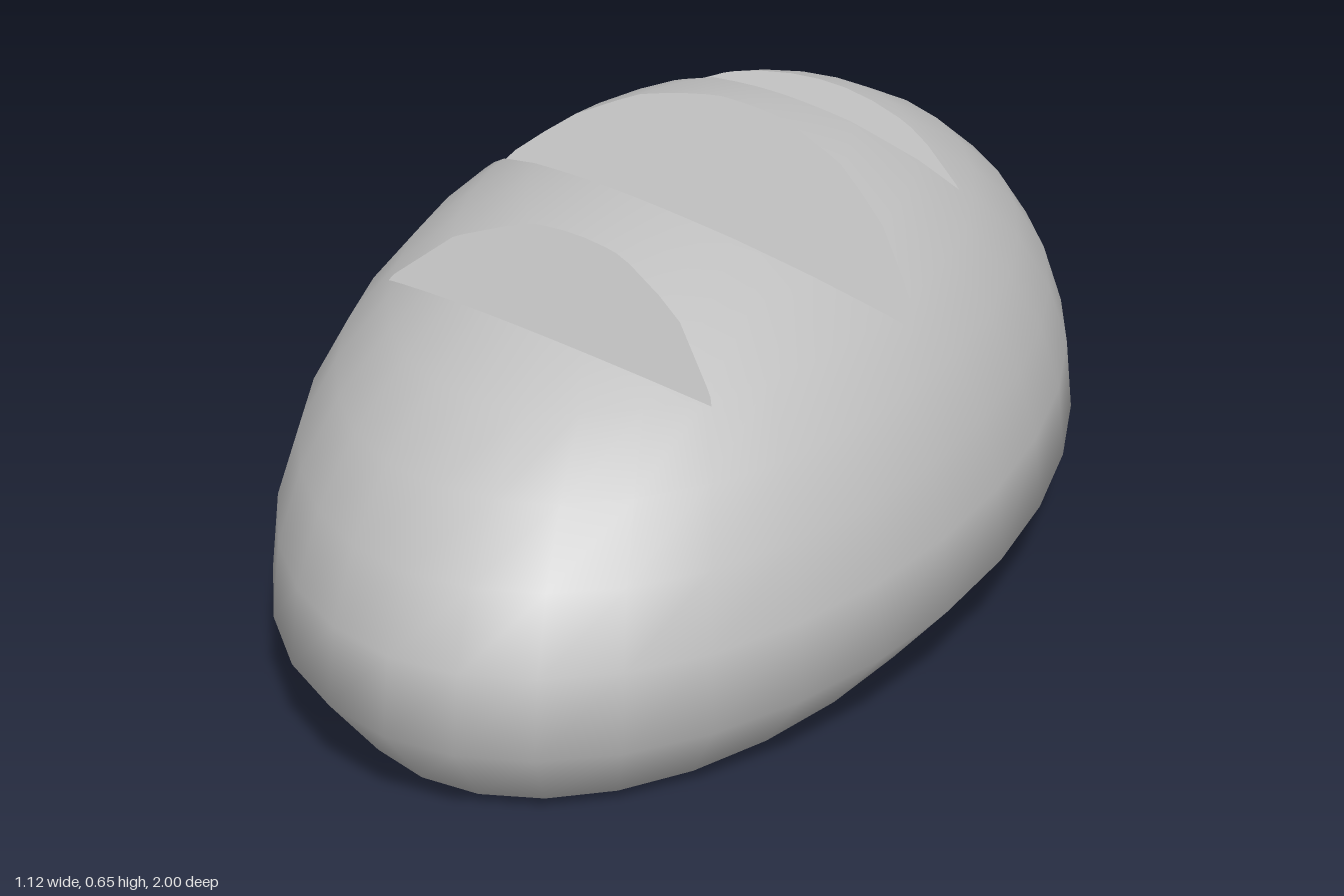
import * as THREE from 'three';

const SEGMENTS = 32, STEPS = 8;
const V = (x, y, z) => new THREE.Vector3(x, y, z);

// One horizontal oval of the loaf
function oval(rx, rz, y) {
  return Array.from({ length: SEGMENTS }, (_, i) => {
    const a = (i / SEGMENTS) * Math.PI * 2;
    return V(rx * Math.cos(a), y, rz * Math.sin(a));
  });
}

// Skin stacked ovals from bottom to top, with an optional closing point at either end
function loft(rings, bottom, top) {
  const points = rings.flat(), index = [];
  const at = (r, i) => r * SEGMENTS + (i % SEGMENTS);
  for (let i = 0; i < SEGMENTS; i++) {
    for (let r = 0; r < rings.length - 1; r++) {
      const a = at(r, i), b = at(r + 1, i), c = at(r + 1, i + 1), d = at(r, i + 1);
      index.push(a, b, d, b, c, d);
    }
    if (top) index.push(at(rings.length - 1, i), rings.length * SEGMENTS, at(rings.length - 1, i + 1));
    if (bottom) index.push(at(0, i), at(0, i + 1), rings.length * SEGMENTS);
  }
  if (top) points.push(top);
  if (bottom) points.push(bottom);
  const geo = new THREE.BufferGeometry().setFromPoints(points);
  geo.setIndex(index);
  geo.computeVertexNormals();
  return geo;
}

// Keep the part of a polygon on one side of a plane (sign +1 is the normal's side)
function clip(poly, plane, sign) {
  const out = [];
  poly.forEach((a, i) => {
    const b = poly[(i + 1) % poly.length];
    const da = sign * plane.distanceToPoint(a.p), db = sign * plane.distanceToPoint(b.p);
    if (da >= 0) out.push(a);
    if ((da > 0 && db < 0) || (da < 0 && db > 0)) {
      const t = da / (da - db);
      out.push({ p: a.p.clone().lerp(b.p, t), n: a.n.clone().lerp(b.n, t).normalize() });
    }
  });
  return out.length > 2 ? out : [];
}

// Remove a convex region, bounded by planes facing into it, from a set of polygons
function carve(polys, planes) {
  return polys.flatMap((poly) => {
    let rest = poly;
    const kept = [];
    for (const plane of planes) {
      const outside = clip(rest, plane, -1);
      if (outside.length) kept.push(outside);
      rest = clip(rest, plane, 1);
      if (!rest.length) return [poly];
    }
    return kept;
  });
}

function polygonsToGeometry(polys) {
  const pos = [], nor = [];
  for (const poly of polys) {
    for (let i = 1; i < poly.length - 1; i++) {
      for (const v of [poly[0], poly[i], poly[i + 1]]) {
        pos.push(v.p.x, v.p.y, v.p.z);
        nor.push(v.n.x, v.n.y, v.n.z);
      }
    }
  }
  const geo = new THREE.BufferGeometry();
  geo.setAttribute('position', new THREE.Float32BufferAttribute(pos, 3));
  geo.setAttribute('normal', new THREE.Float32BufferAttribute(nor, 3));
  return geo;
}

// Slash: ends of its bottom line, line height, front and back wall slopes, half width of the floor
const SLASHES = [
  { name: 'frontSlash', from: [-0.34, 0.335], to: [0.225, 0.6], y: 0.497, front: 0.7, back: 1.25, floor: 0 },
  { name: 'middleSlash', from: [-0.41, -0.215], to: [0.4, 0.205], y: 0.485, front: 0.76, back: 1.0, floor: 0.01 },
  { name: 'backSlash', from: [-0.235, -0.53], to: [0.35, -0.25], y: 0.522, front: 1.15, back: 0.8, floor: 0 },
];

function slashPlanes({ from, to, y, front, back, floor }) {
  const along = V(to[0] - from[0], 0, to[1] - from[1]).normalize();
  const forward = V(-along.z, 0, along.x);
  const mid = V((from[0] + to[0]) / 2, y, (from[1] + to[1]) / 2);
  const wall = (slope, side) => {
    const normal = forward.clone().multiplyScalar(-slope * side).add(V(0, 1, 0)).normalize();
    const origin = mid.clone().addScaledVector(forward, floor * side);
    return new THREE.Plane().setFromNormalAndCoplanarPoint(normal, origin);
  };
  const planes = [wall(front, 1), wall(back, -1)];
  if (floor) planes.push(new THREE.Plane(V(0, 1, 0), -y));
  return { planes, along, mid };
}

export function createModel() {
  const group = new THREE.Group();
  const crust = new THREE.MeshStandardMaterial({ color: 0xc0c0c0 });
  crust.name = 'crust grey';
  const add = (name, geo) => {
    const mesh = new THREE.Mesh(geo, crust);
    mesh.name = name;
    group.add(mesh);
  };

  // Domed crust above a tucked-in lower edge
  const rings = [oval(0.465, 0.915, 0.015)];
  for (let k = 0; k < STEPS; k++) {
    const a = (k / STEPS) * Math.PI / 2, e = 2 / 2.1;
    const r = Math.cos(a) ** e;
    rings.push(oval(0.56 * r, r, 0.12 + 0.537 * Math.sin(a) ** e));
  }
  const dome = loft(rings, null, V(0, 0.657, 0));
  const pos = dome.attributes.position, nor = dome.attributes.normal;
  const corner = (i) => ({
    p: V().fromBufferAttribute(pos, i),
    n: V().fromBufferAttribute(nor, i),
  });
  let polys = [];
  for (let i = 0; i < dome.index.count; i += 3) {
    polys.push([0, 1, 2].map((k) => corner(dome.index.getX(i + k))));
  }
  const hull = polys
    .filter((t) => t.every((v) => v.p.y > 0.11))
    .map((t) => new THREE.Plane().setFromCoplanarPoints(t[0].p, t[1].p, t[2].p));

  // Slashes: carve the crust, then line each groove with its walls
  for (const slash of SLASHES) {
    const { planes, along, mid } = slashPlanes(slash);
    polys = carve(polys, planes);
    const walls = planes.map((plane) => {
      const n = plane.normal, across = n.clone().cross(along);
      const centre = plane.projectPoint(mid, V());
      let wall = [[-1, -1], [1, -1], [1, 1], [-1, 1]].map(([u, v]) => ({
        p: centre.clone().addScaledVector(along, 2 * u).addScaledVector(across, 2 * v), n,
      }));
      for (const other of planes) if (other !== plane) wall = clip(wall, other, 1);
      for (const face of hull) wall = clip(wall, face, -1);
      return wall;
    });
    add(slash.name, polygonsToGeometry(walls));
  }
  add('crust', polygonsToGeometry(polys));

  // Flat underside with a slight bevel
  add('underside', loft([oval(0.38, 0.84, 0), oval(0.465, 0.915, 0.015)], V(0, 0, 0), null));
  return group;
}
